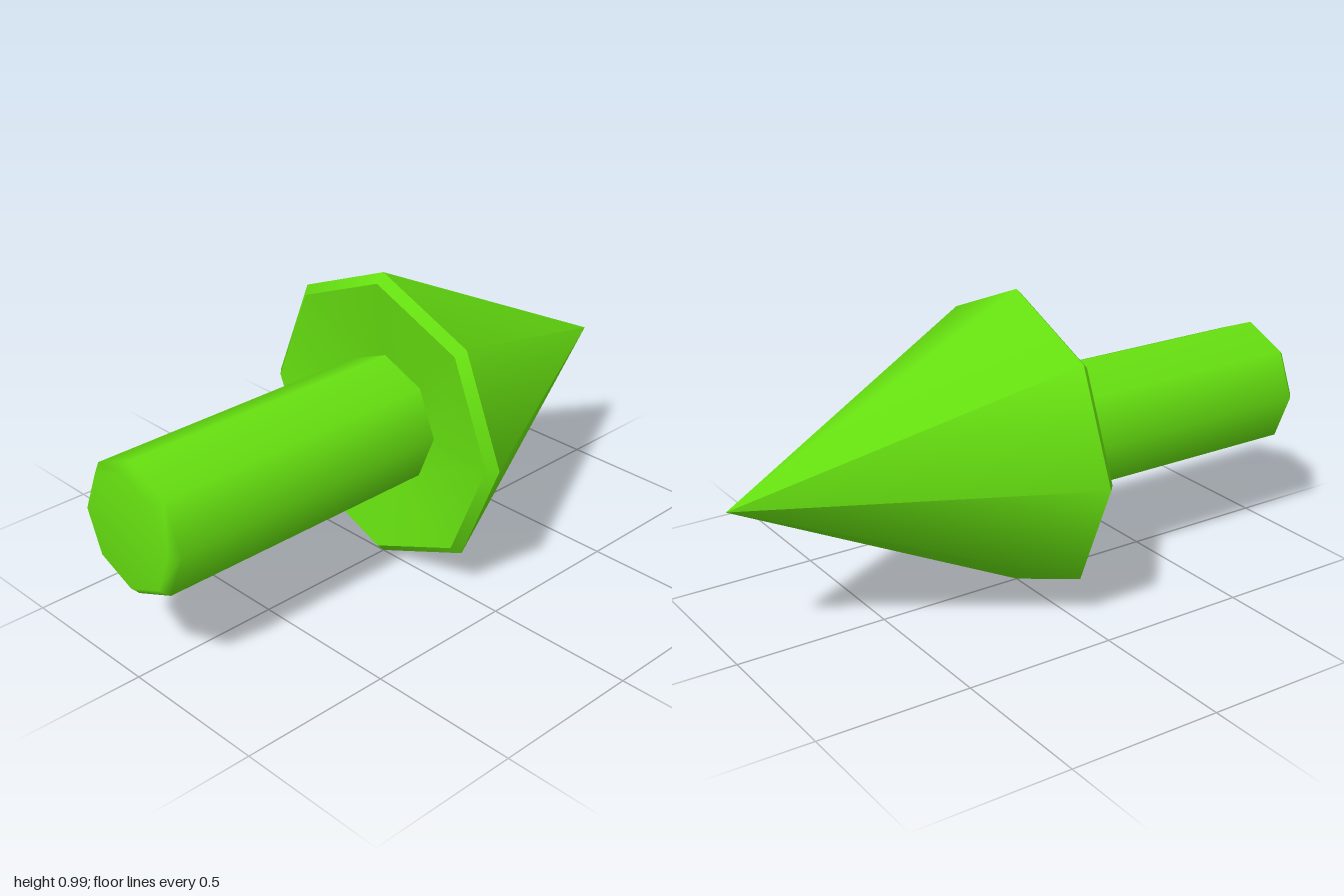
import * as THREE from 'three';

const SIDES = 8;
const CENTRE_Y = 0.495;

// Eight-sided smooth lathe around the z axis; profile points are [radius, z], back to front.
function turned(name, profile, material) {
  const points = profile.map(([r, z]) => new THREE.Vector2(r, z));
  const geometry = new THREE.LatheGeometry(points, SIDES);
  geometry.rotateX(Math.PI / 2);
  const mesh = new THREE.Mesh(geometry, material);
  mesh.name = name;
  return mesh;
}

export function createModel() {
  const green = new THREE.MeshStandardMaterial({ color: 0x66e010 });
  green.name = 'brightGreen';

  const arrow = new THREE.Group();
  arrow.name = 'arrow';

  // Arrowhead: cone, bevelled rim and slightly hollow base, kept apart for sharp edges
  const head = new THREE.Group();
  head.name = 'arrowhead';
  head.add(
    turned('headCone', [[0, -1], [0.495, 0]], green),
    turned('headRim', [[0.495, 0], [0.465, 0.028]], green),
    turned('headBase', [[0.465, 0.028], [0.2, -0.01]], green),
  );

  // Shaft with a softly shaded bevelled end
  const shaft = turned('shaft', [[0.215, -0.03], [0.215, 0.972], [0.187, 1], [0, 1]], green);

  arrow.add(head, shaft);
  arrow.position.y = CENTRE_Y;

  const model = new THREE.Group();
  model.name = 'arrowModel';
  model.add(arrow);
  return model;
}
